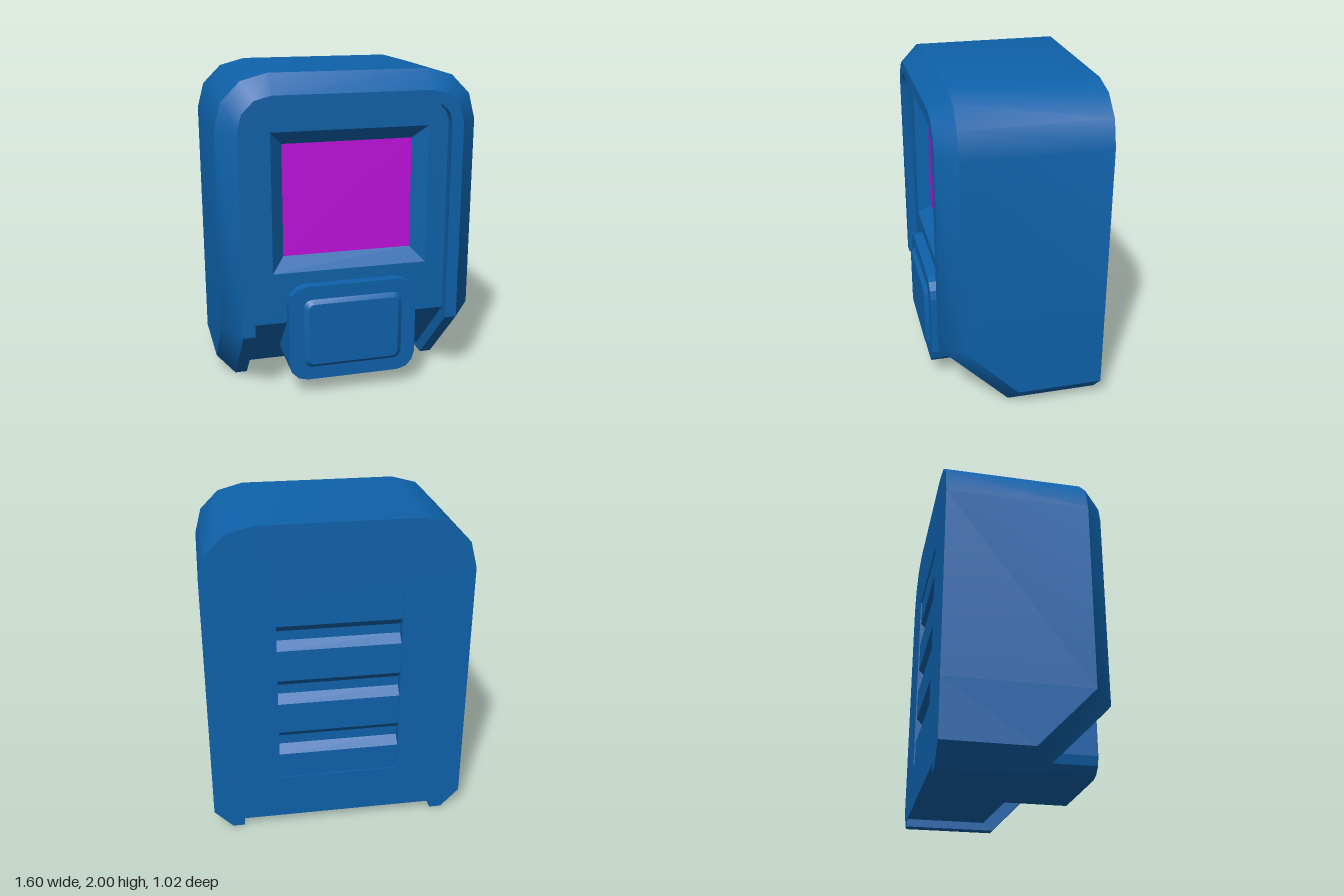
import * as THREE from 'three';
import { toCreasedNormals } from 'three/addons/utils/BufferGeometryUtils.js';

const BACK = -0.51, FRONT = 0.485, FLOOR = 0.425, SCREEN = 0.345, PLATE = 0.49;

// Skin stretched over rows of [x, y, z] points, each row with the same count.
function skin(rows) {
  const pos = [];
  const same = (p, q) => p.every((v, i) => Math.abs(v - q[i]) < 1e-6);
  const tri = (a, b, c) => {
    if (!same(a, b) && !same(b, c) && !same(a, c)) pos.push(...a, ...b, ...c);
  };
  for (let r = 0; r + 1 < rows.length; r++) {
    for (let c = 0; c + 1 < rows[r].length; c++) {
      tri(rows[r][c], rows[r][c + 1], rows[r + 1][c + 1]);
      tri(rows[r][c], rows[r + 1][c + 1], rows[r + 1][c]);
    }
  }
  const geo = new THREE.BufferGeometry();
  geo.setAttribute('position', new THREE.Float32BufferAttribute(pos, 3));
  return toCreasedNormals(geo, 0.65);
}

// Three-sided corner arc around (cx, cy), starting at angle a.
function arc(cx, cy, r, a) {
  return [0, 1, 2, 3].map((i) => {
    const t = a + (i * Math.PI) / 6;
    return [cx + r * Math.cos(t), cy + r * Math.sin(t)];
  });
}

// Counter-clockwise rectangle, symmetric in x, with cut-round corners.
function roundedRect(x, y0, y1, r) {
  const q = Math.PI / 2;
  return [
    ...arc(x - r, y1 - r, r, 0), ...arc(r - x, y1 - r, r, q),
    ...arc(r - x, y0 + r, r, 2 * q), ...arc(x - r, y0 + r, r, 3 * q),
  ];
}

const rect = (x, y0, y1) => [[x, y0], [x, y1], [-x, y1], [-x, y0]];
const shapeOf = (pts) => new THREE.Shape(pts.map((p) => new THREE.Vector2(p[0], p[1])));
const ring = (pts, z) => [...pts, pts[0]].map(([x, y]) => [x, y, z]);
const mirrored = (half) => [...half, ...half.slice().reverse().map(([x, y, z]) => [-x, y, z])];

export function createModel() {
  const group = new THREE.Group();
  const blue = new THREE.MeshStandardMaterial({ color: 0x0e62ab, side: THREE.DoubleSide });
  const magenta = new THREE.MeshStandardMaterial({ color: 0xc00fdd });
  const add = (name, geo, mat = blue) => {
    const mesh = new THREE.Mesh(geo, mat);
    mesh.name = name;
    group.add(mesh);
    return mesh;
  };

  // Casing: arch lines run from the bottom back, up the sloped foot and over the top
  const arch = (r, z) => arc(0.485, 1.685, r, 0).map(([x, y]) => [x, y, z]);
  const floorEdge = [[0.61, 0.05, BACK], [0.61, 0.05, 0], [0.61, 0.48, FLOOR], ...arch(0.125, FLOOR)];
  const lines = [
    [[0.8, 0.12, BACK], [0.8, 0.12, BACK], [0.8, 0.48, BACK], ...arch(0.315, BACK)],
    [[0.8, 0.12, BACK], [0.8, 0.12, 0.02], [0.8, 0.48, 0.37], ...arch(0.315, 0.37)],
    [[0.685, 0, BACK], [0.685, 0, 0.06], [0.685, 0.43, FRONT], ...arch(0.2, FRONT)],
    [[0.61, 0, BACK], [0.61, 0, 0.06], [0.61, 0.43, FRONT], ...arch(0.125, FRONT)],
    floorEdge,
  ];
  add('casing', skin(lines.map(mirrored)));

  // Sunken front face with the screen opening
  const opening = rect(0.485, 0.8, 1.665), glass = rect(0.405, 0.885, 1.58);
  const face = shapeOf(mirrored(floorEdge.slice(2)));
  face.holes.push(shapeOf(opening));
  add('frontFace', new THREE.ShapeGeometry(face).translate(0, 0, FLOOR));

  // Underside and the slope up to the front face
  add('underside', skin(floorEdge.slice(0, 3).map(([x, y, z]) => [[-x, y, z], [x, y, z]])));

  // Screen and its bevelled surround
  add('screenSurround', skin([ring(opening, FLOOR), ring(glass, SCREEN)]));
  add('screen', new THREE.PlaneGeometry(0.81, 0.695), magenta).position.set(0, 1.2325, SCREEN);

  // Lower front plate with a raised pad
  add('lowerPlate', new THREE.ExtrudeGeometry(shapeOf(roundedRect(0.405, 0.11, 0.725, 0.115)),
    { depth: PLATE, bevelEnabled: false }));
  const padTop = roundedRect(0.285, 0.22, 0.615, 0.035);
  add('padEdge', skin([ring(roundedRect(0.315, 0.195, 0.64, 0.055), PLATE), ring(padTop, 0.515)]));
  add('padFace', new THREE.ShapeGeometry(shapeOf(padTop)).translate(0, 0, 0.515));

  // Back wall with the vent opening
  const wall = shapeOf(mirrored([[0.61, 0.05], [0.61, 0], [0.685, 0], [0.8, 0.12],
    ...arc(0.485, 1.685, 0.315, 0)]));
  wall.holes.push(shapeOf(rect(0.375, 0.34, 1.55)));
  add('backWall', new THREE.ShapeGeometry(wall).rotateY(Math.PI).translate(0, 0, BACK));

  // Vent panel: [z, y] profile with three grooves, closed at both ends
  const zp = BACK + 0.008;
  const profile = [[BACK, 1.55], [zp, 1.55]];
  for (const y of [1.303, 0.945, 0.587]) {
    profile.push([zp, y + 0.08], [zp + 0.05, y + 0.03], [zp + 0.05, y - 0.03], [zp, y - 0.08]);
  }
  profile.push([zp, 0.34], [BACK, 0.34]);
  add('ventPanel', skin(profile.map(([z, y]) => [[-0.375, y, z], [0.375, y, z]])));
  for (const side of [-1, 1]) {
    add('ventEnd', new THREE.ShapeGeometry(shapeOf(profile)).rotateY(-Math.PI / 2)
      .translate(side * 0.375, 0, 0));
  }

  return group;
}
